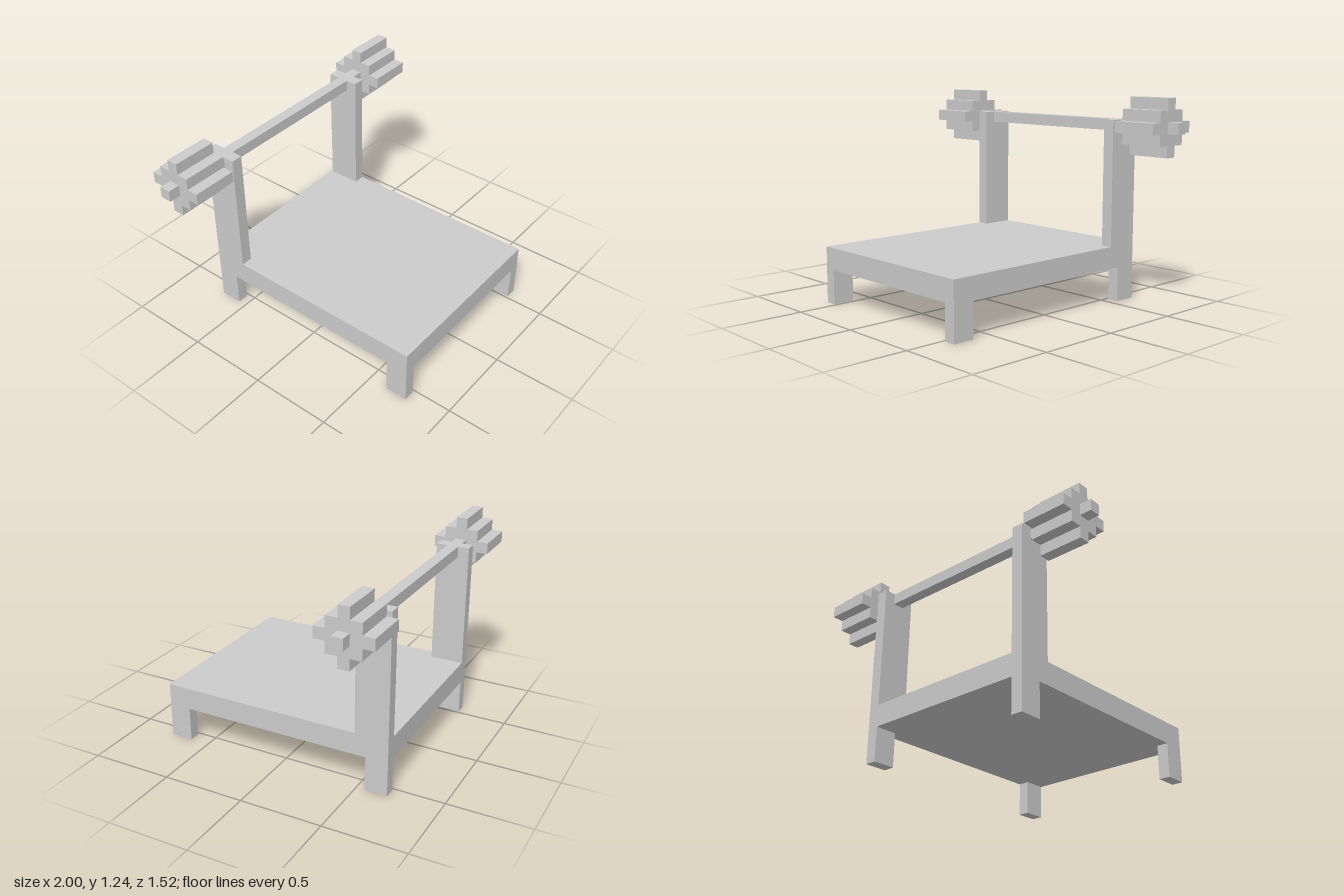
import * as THREE from 'three';

const material = new THREE.MeshStandardMaterial({ color: 0xcccccc, flatShading: true });

// Box given by its limits on each axis
function box(name, [x0, x1], [y0, y1], [z0, z1]) {
  const geometry = new THREE.BoxGeometry(x1 - x0, y1 - y0, z1 - z0);
  geometry.translate((x0 + x1) / 2, (y0 + y1) / 2, (z0 + z1) / 2);
  const mesh = new THREE.Mesh(geometry, material);
  mesh.name = name;
  return mesh;
}

// Side profile of [z, y] points, extruded across x0..x1
function slab(name, points, x0, x1) {
  const shape = new THREE.Shape(points.map(([z, y]) => new THREE.Vector2(z, y)));
  const geometry = new THREE.ExtrudeGeometry(shape, { depth: x1 - x0, bevelEnabled: false });
  geometry.rotateY(-Math.PI / 2).translate(x1, 0, 0);
  const mesh = new THREE.Mesh(geometry, material);
  mesh.name = name;
  return mesh;
}

export function createModel() {
  const model = new THREE.Group();
  model.name = 'weightBench';

  const inner = 0.515, outer = 0.585;
  const back = -0.69, front = 0.757;
  const benchY = [0.21, 0.345];
  const barY = [1.037, 1.105], barZ = [-0.621, -0.553];
  const cy = 1.071, cz = -0.587;

  // Bench top between the side frames
  model.add(box('benchTop', [-inner, inner], benchY, [back, front]));

  // Side frame: front leg, bench edge, rear leg and upright in one profile
  const frame = [
    [front, 0], [front, 0.345], [-0.485, 0.345], [-0.485, 1.105], [back, 1.105],
    [back, 0], [-0.552, 0], [-0.552, 0.21], [0.621, 0.21], [0.621, 0],
  ];

  // Stepped, cross-shaped weight: one quarter turned around the bar
  const quarter = [[0.171, 0.034], [0.1025, 0.034], [0.1025, 0.1025], [0.034, 0.1025], [0.034, 0.171]];
  const weight = [];
  for (let i = 0; i < 4; i++) {
    for (let [a, b] of quarter) {
      for (let k = 0; k < i; k++) [a, b] = [-b, a];
      weight.push([cz + a, cy + b]);
    }
  }

  // Bar between the uprights
  model.add(box('bar', [-inner, inner], barY, barZ));

  // Mirrored parts on both sides
  for (const [side, s] of [['left', 1], ['right', -1]]) {
    const span = (a, b) => (s > 0 ? [a, b] : [-b, -a]);
    model.add(slab(side + 'Frame', frame, ...span(inner, outer)));
    model.add(box(side + 'BarEnd', span(outer, 1), barY, barZ));
    model.add(slab(side + 'Weight', weight, ...span(0.655, 0.927)));
  }
  return model;
}
